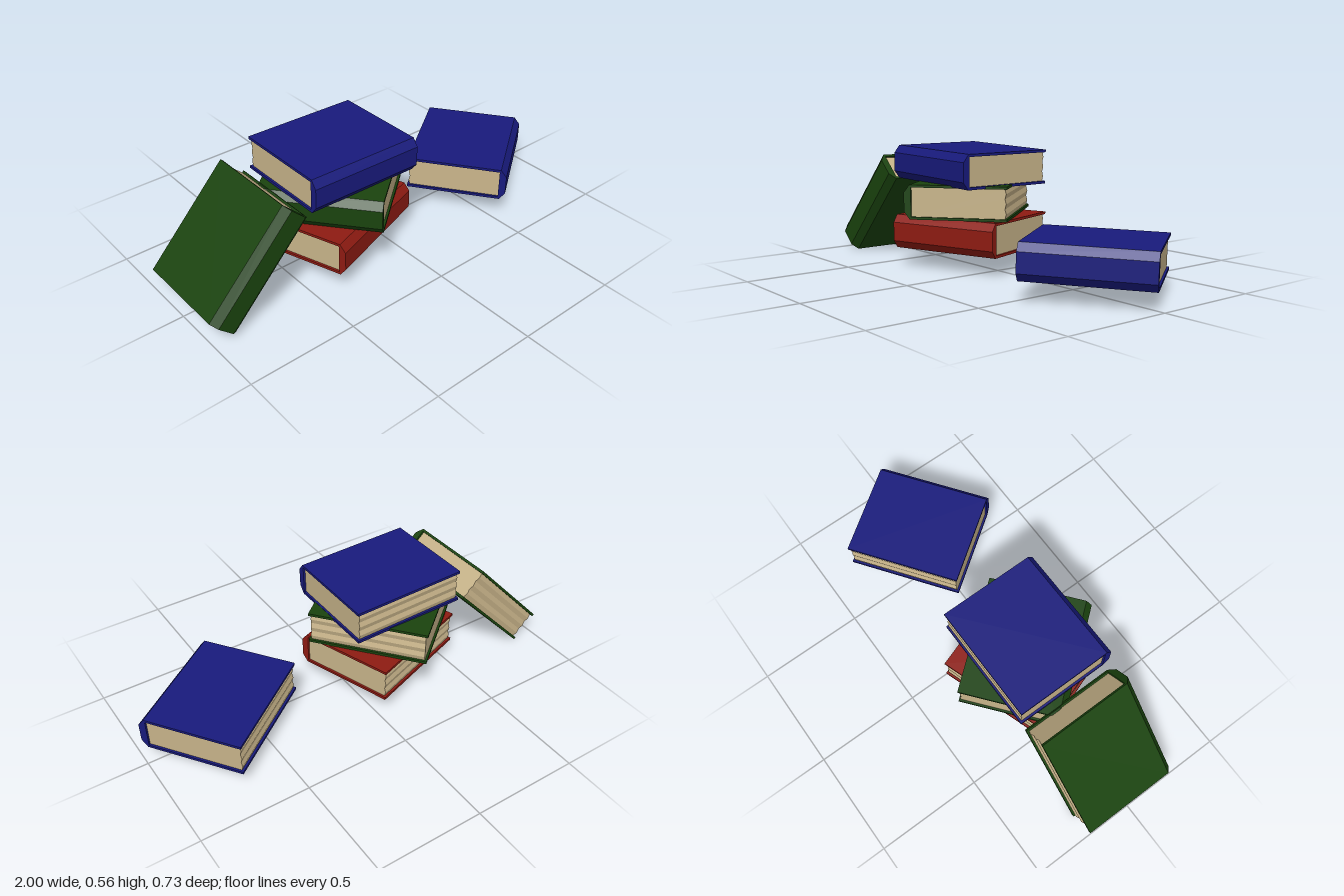
import * as THREE from 'three';

const LENGTH = 0.55, HALF_DEPTH = 0.2375, HALF_THICK = 0.079, BOARD = 0.012;
const BLUE = 0x181a7c, GREEN = 0x1a430e, RED = 0x8e1b12, PAPER = 0xc8b48a;

// Extrude a (depth, height) outline along the book's length, centred on x
function extrudeOutline(points, length) {
  const shape = new THREE.Shape(points.map(([z, y]) => new THREE.Vector2(z, y)));
  const geo = new THREE.ExtrudeGeometry(shape, { depth: length, bevelEnabled: false });
  geo.translate(0, 0, -length / 2);
  geo.rotateY(-Math.PI / 2);
  return geo;
}

function part(name, geo, color) {
  const mesh = new THREE.Mesh(geo, new THREE.MeshStandardMaterial({ color, flatShading: true }));
  mesh.name = name;
  return mesh;
}

// C-shaped cover: two boards joined by a chamfered spine on +z
function coverGeometry() {
  const d = HALF_DEPTH, t = HALF_THICK, inner = t - BOARD;
  return extrudeOutline([
    [-d, -t], [d - 0.027, -t], [d, -0.044], [d, 0.044], [d - 0.027, t], [-d, t],
    [-d, inner], [d - 0.033, inner], [d - 0.033, -inner], [-d, -inner],
  ], LENGTH);
}

// Page block with a rippled fore edge
function pagesGeometry() {
  const h = HALF_THICK - BOARD + 0.001, back = -HALF_DEPTH + 0.011, front = HALF_DEPTH - 0.032;
  const outline = [[front, -h], [front, h]];
  const ripples = 6;
  for (let i = 0; i <= ripples; i++) {
    outline.push([back - (i % 2 ? 0.006 : 0), h - (2 * h * i) / ripples]);
  }
  return extrudeOutline(outline, LENGTH - 0.02);
}

export function createModel() {
  const root = new THREE.Group();
  root.name = 'bookPile';
  const cover = coverGeometry(), pages = pagesGeometry();

  // name, colour, centre, turn about y, tilt along the spine
  const books = [
    ['bottomBook', RED, [-0.205, 0.169, 0.002], 0.33, 0],
    ['middleBook', GREEN, [-0.215, 0.329, 0], -0.888, 0],
    ['topBook', BLUE, [-0.205, 0.4825, 0.0095], 0, -0.022],
    ['leaningBook', GREEN, [-0.755, 0.257, 0.0095], 0, 0.813],
    ['looseBook', BLUE, [0.637, 0.165, 0.003], 0.62, -0.022],
  ];
  for (const [name, color, centre, turn, tilt] of books) {
    const book = new THREE.Group();
    book.name = name;
    book.add(part('cover', cover, color), part('pages', pages, PAPER));
    book.position.set(...centre);
    book.rotation.set(0, turn, tilt, 'YXZ');
    root.add(book);
  }
  return root;
}
